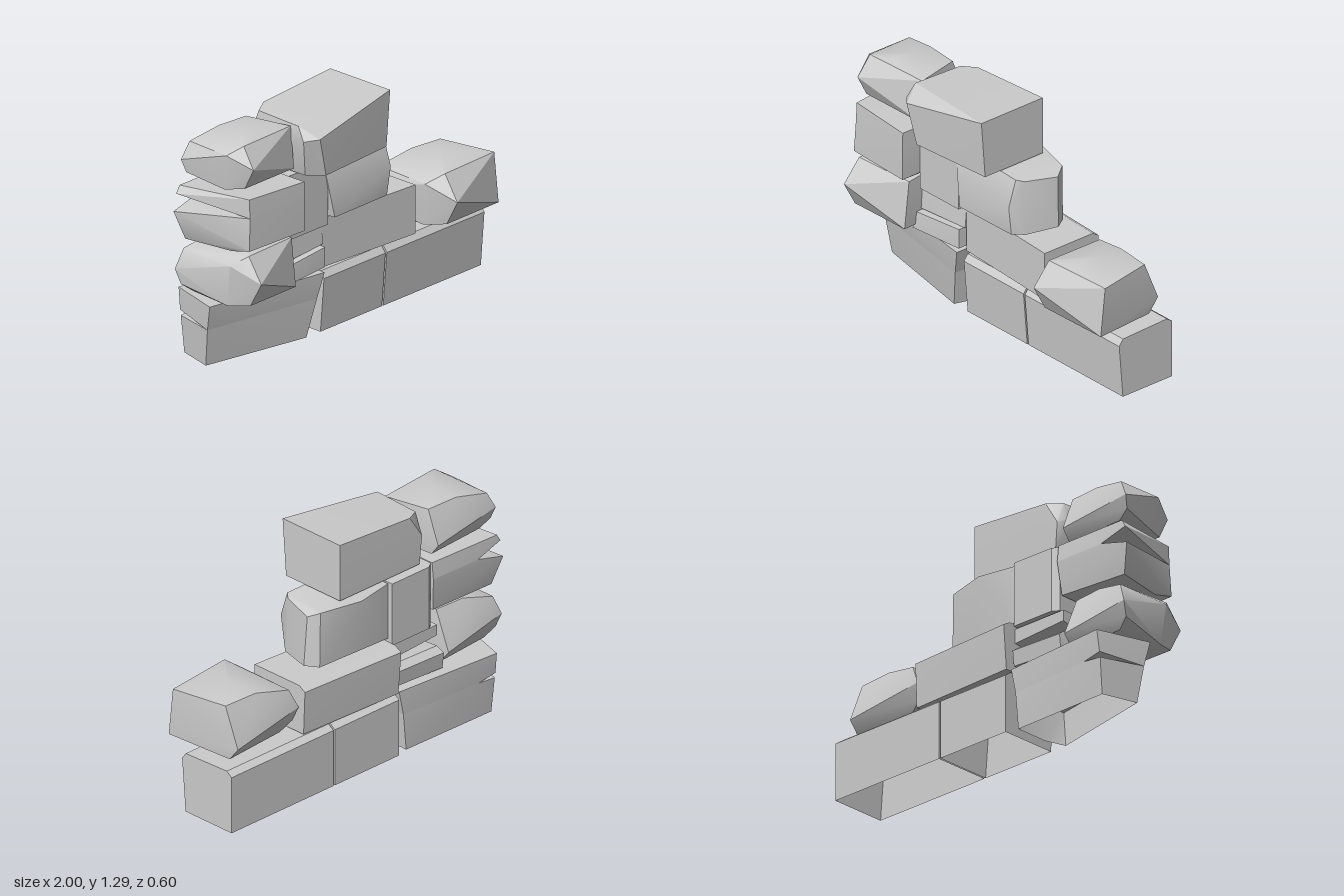
import * as THREE from 'three';
import { ConvexGeometry } from 'three/addons/geometries/ConvexGeometry.js';
import { toCreasedNormals } from 'three/addons/utils/BufferGeometryUtils.js';

const material = new THREE.MeshStandardMaterial({ color: 0xcccccc, side: THREE.DoubleSide });

// A chiselled stone: the hull of its corners, left open where it rests on the ground
function stone(name, corners) {
  const hull = new ConvexGeometry(corners.map(c => new THREE.Vector3(...c)));
  const p = hull.getAttribute('position');
  const kept = [];
  for (let i = 0; i < p.count; i += 3) {
    if (Math.max(p.getY(i), p.getY(i + 1), p.getY(i + 2)) < 0.001) continue;
    for (let j = i; j < i + 3; j++) kept.push(p.getX(j), p.getY(j), p.getZ(j));
  }
  const geometry = new THREE.BufferGeometry();
  geometry.setAttribute('position', new THREE.Float32BufferAttribute(kept, 3));
  const mesh = new THREE.Mesh(toCreasedNormals(geometry, 0.5), material);
  mesh.name = name;
  return mesh;
}

// A long block: one [z, y] section carried from x0 to x1
function block(name, x0, x1, section) {
  return stone(name, [x0, x1].flatMap(x => section.map(([z, y]) => [x, y, z])));
}

// A rough boulder with a pointed front, fitted to a position and scale
function boulder(name, [x, y, z], [sx, sy, sz]) {
  const corners = [
    [0.10, 0.19, 0.295], [0.10, 0.05, 0.22], [0.51, 0.31, 0.17], [0.51, 0.04, 0.20],
    [0.45, 0.31, -0.15], [0.45, 0.09, -0.24], [0.45, 0.015, -0.18],
    [-0.005, 0.16, -0.22], [0.045, 0.27, -0.20], [0.035, 0.265, 0.13], [0.11, 0.32, 0.20],
    [0.24, 0.335, 0.15], [0.28, 0.345, 0.01], [0.25, 0.315, -0.165],
    [0.01, 0.08, -0.19], [0.05, 0.03, 0.10], [0.25, 0.001, 0], [0.08, 0.03, -0.17],
  ];
  const mesh = stone(name, corners.map(c => [c[0] * sx, c[1] * sy, c[2] * sz]));
  mesh.position.set(x, y, z);
  return mesh;
}

// A stone with a wedge-shaped crack between its two halves
function crackedStone(name, upper, lower) {
  const group = new THREE.Group();
  group.name = name;
  group.add(stone(name + 'Upper', upper), stone(name + 'Lower', lower));
  return group;
}

export function createModel() {
  const wall = new THREE.Group();
  wall.name = 'ruinedWall';

  // Bottom course
  const baseSection = [[0.063, 0], [0.088, 0.30], [0.062, 0.335], [-0.235, 0.345], [-0.27, 0.32], [-0.27, 0]];
  wall.add(
    block('baseBlockLong', 0.27, 1.0, baseSection),
    block('baseBlockShort', -0.2, 0.26, baseSection),
    crackedStone('baseStone',
      [[-0.96, 0.35, 0], [-0.225, 0.35, 0.115], [-0.22, 0.35, -0.25], [-0.87, 0.35, -0.30],
        [-0.945, 0.21, -0.03], [-0.26, 0.21, 0.095], [-0.25, 0.21, -0.25], [-0.76, 0.21, -0.28], [-0.875, 0.23, -0.285]],
      [[-0.945, 0.21, -0.03], [-0.26, 0.21, 0.095], [-0.25, 0.21, -0.25], [-0.76, 0.21, -0.28], [-0.875, 0.2, -0.28],
        [-0.925, 0, -0.06], [-0.305, 0, 0.063], [-0.27, 0, -0.05], [-0.27, 0, -0.25], [-0.87, 0, -0.26]]),
  );

  // Second course
  wall.add(
    stone('secondBlock', [
      [-0.2, 0.355, 0.07], [-0.2, 0.625, 0.07], [-0.2, 0.625, -0.24], [-0.2, 0.6, -0.285], [-0.2, 0.355, -0.265],
      [0.455, 0.355, 0.115], [0.455, 0.625, 0.115], [0.455, 0.625, -0.21], [0.455, 0.6, -0.25], [0.455, 0.355, -0.24]]),
    boulder('rightBoulder', [0.475, 0.35, 0], [1, 1, 1]),
    boulder('leftBoulder', [-0.98, 0.35, 0], [0.88, 0.98, 1]),
    stone('upperFiller', [
      [-0.54, 0.605, 0.07], [-0.2, 0.61, 0.07], [-0.2, 0.49, 0.08], [-0.54, 0.465, 0.08],
      [-0.54, 0.6, -0.2], [-0.2, 0.6, -0.2], [-0.2, 0.52, -0.2], [-0.54, 0.54, -0.2]]),
    stone('lowerFiller', [
      [-0.54, 0.455, 0.11], [-0.215, 0.485, 0.11], [-0.215, 0.375, 0.11], [-0.56, 0.36, 0.12],
      [-0.54, 0.48, -0.2], [-0.22, 0.49, -0.2], [-0.22, 0.46, -0.24], [-0.55, 0.45, -0.24],
      [-0.22, 0.375, -0.23], [-0.55, 0.36, -0.23]]),
  );

  // Third course
  wall.add(
    crackedStone('thirdEndStone',
      [[-0.89, 0.98, 0.21], [-0.505, 0.97, 0.235], [-0.89, 0.877, 0.215], [-0.505, 0.877, 0.237],
        [-0.505, 0.97, -0.2], [-0.96, 0.965, -0.21], [-0.985, 0.925, -0.21], [-0.82, 0.877, -0.215],
        [-0.505, 0.877, -0.21]],
      [[-0.89, 0.877, 0.215], [-0.505, 0.877, 0.237], [-0.82, 0.877, -0.215], [-0.505, 0.877, -0.21],
        [-1, 0.83, -0.215], [-0.505, 0.7, 0.237], [-0.9, 0.7, 0.22], [-0.95, 0.675, -0.18],
        [-0.52, 0.69, -0.19], [-0.9, 0.67, 0.1], [-0.53, 0.68, 0.1]]),
    stone('thirdMiddleStone', [
      [-0.505, 0.965, 0.12], [-0.205, 0.965, 0.12], [-0.505, 0.61, 0.12], [-0.205, 0.61, 0.12],
      [-0.505, 0.965, -0.19], [-0.505, 0.61, -0.19], [-0.47, 0.965, -0.215], [-0.47, 0.61, -0.215],
      [-0.205, 0.965, -0.215], [-0.205, 0.61, -0.215]]),
    stone('thirdRightStone', [
      [-0.2, 0.965, 0.1], [-0.225, 0.91, 0.12], [-0.175, 0.645, 0.14], [0.22, 0.645, 0.135], [0.225, 0.81, 0.157],
      [0.225, 0.955, 0.11], [0.27, 0.645, 0.08], [0.255, 0.945, 0.075], [0.315, 0.645, -0.1], [0.30, 0.925, -0.11],
      [0.265, 0.955, -0.17], [0.27, 0.645, -0.17], [0.03, 0.96, -0.23], [-0.2, 0.96, -0.19], [-0.2, 0.645, -0.19]]),
  );

  // Top course
  wall.add(
    boulder('topBoulder', [-0.965, 0.98, -0.015], [0.94, 0.84, 0.8]),
    stone('topBlock', [
      [0.12, 1.29, 0.25], [0.12, 1.29, -0.165], [0.12, 0.97, -0.165], [0.12, 0.97, 0.225],
      [-0.43, 1.19, 0.275], [-0.37, 0.97, 0.26], [-0.48, 1.25, 0.17], [-0.465, 1.25, -0.12],
      [-0.38, 1.26, -0.165], [-0.495, 1.18, 0.22], [-0.44, 0.97, 0.18], [-0.49, 1.15, -0.12],
      [-0.465, 1.13, -0.168], [-0.45, 0.97, -0.165]]),
  );
  return wall;
}
